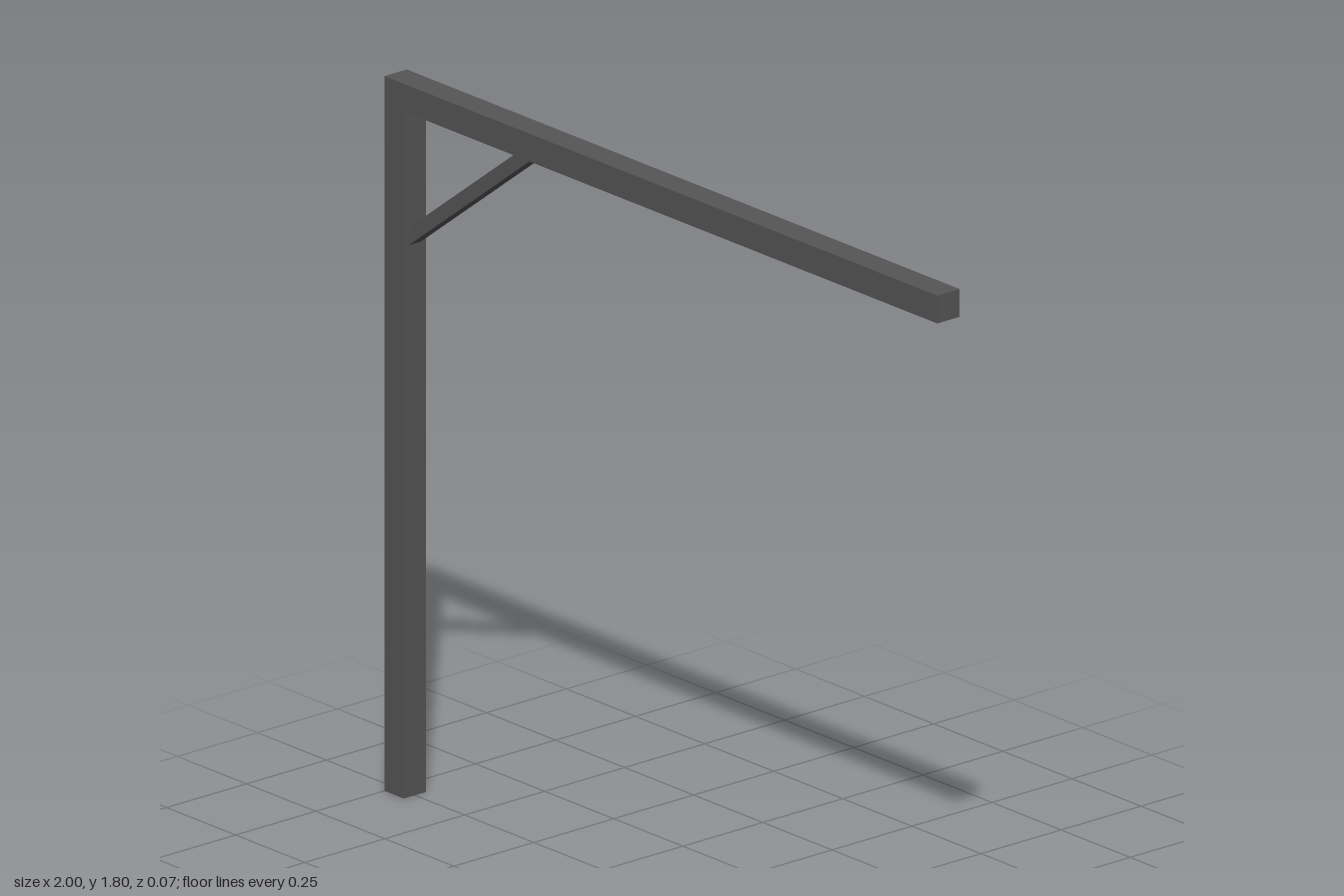
import * as THREE from 'three';

const HALF = 1, TOP = 1.8, BAR = 0.07;

// Extrude a front-view outline, centred on z = 0
function plate(name, points, depth, material) {
  const shape = new THREE.Shape(points.map(([x, y]) => new THREE.Vector2(x, y)));
  const geometry = new THREE.ExtrudeGeometry(shape, { depth, bevelEnabled: false });
  geometry.translate(0, 0, -depth / 2);
  const mesh = new THREE.Mesh(geometry, material);
  mesh.name = name;
  return mesh;
}

export function createModel() {
  const group = new THREE.Group();
  group.name = 'bracedPostAndBeam';
  const steel = new THREE.MeshStandardMaterial({ color: 0x555555 });
  steel.name = 'dark grey steel';

  const inner = -HALF + BAR, under = TOP - BAR;

  // Upright post and horizontal arm, joined flush at the corner
  group.add(plate('postAndBeam', [
    [-HALF, 0], [inner, 0], [inner, under], [HALF, under], [HALF, TOP], [-HALF, TOP],
  ], BAR, steel));

  // Slanted brace, cut flush against the post and the beam
  group.add(plate('diagonalBrace', [
    [inner, 1.39], [-0.482, under], [-0.54, under], [inner, 1.434],
  ], 0.038, steel));

  return group;
}
